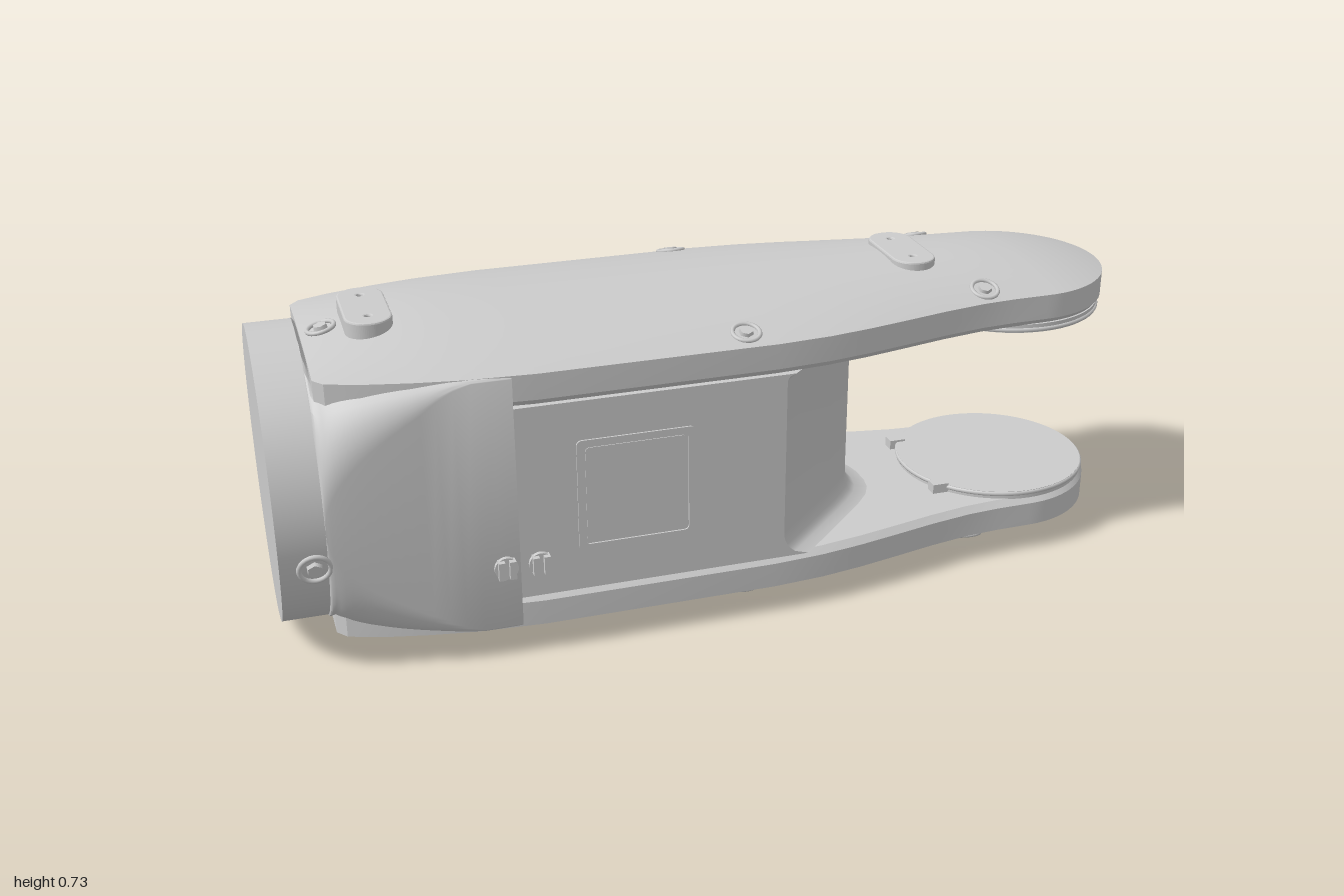
import * as THREE from 'three';
import { toCreasedNormals } from 'three/addons/utils/BufferGeometryUtils.js';

const MID = 0.3625, ZC = -0.007, HALF = 0.327;
const grey = new THREE.MeshStandardMaterial({ color: 0xcccccc });

function add(parent, name, geo, x = 0, y = 0, z = 0) {
  const m = new THREE.Mesh(geo, grey);
  m.name = name;
  m.position.set(x, y, z);
  parent.add(m);
  return m;
}

// Skins a row of closed rings and caps both ends
function loft(rings, crease = 0.5) {
  const n = rings[0].length, pos = [], idx = [];
  rings.forEach(r => r.forEach(p => pos.push(...p)));
  for (let i = 0; i < rings.length - 1; i++) {
    for (let j = 0; j < n; j++) {
      const k = (j + 1) % n, a = i * n + j, b = i * n + k;
      idx.push(a, b, a + n, b, b + n, a + n);
    }
  }
  [0, rings.length - 1].forEach((i, end) => {
    const c = [0, 1, 2].map(q => rings[i].reduce((s, p) => s + p[q], 0) / n);
    const ci = pos.length / 3;
    pos.push(...c);
    for (let j = 0; j < n; j++) {
      const a = i * n + j, b = i * n + (j + 1) % n;
      idx.push(ci, end ? a : b, end ? b : a);
    }
  });
  const g = new THREE.BufferGeometry();
  g.setAttribute('position', new THREE.Float32BufferAttribute(pos, 3));
  g.setIndex(idx);
  return toCreasedNormals(g, crease);
}

// Half width of the arm along its length, then a round tip
const widths = [[-0.89, 0.225], [-0.87, 0.25], [-0.8, 0.275], [-0.7, 0.298], [-0.6, 0.315], [-0.45, HALF],
  [0.08, HALF], [0.2, 0.318], [0.3, 0.302], [0.4, 0.281], [0.5, 0.259], [0.6, 0.242], [0.68, 0.236], [0.765, 0.235]];
function halfWidth(x) {
  if (x >= 0.765) return Math.sqrt(Math.max(0.235 ** 2 - (x - 0.765) ** 2, 1e-6));
  const i = Math.max(1, widths.findIndex(p => p[0] >= x));
  const [a, b] = [widths[i - 1], widths[i]];
  return a[1] + (b[1] - a[1]) * (x - a[0]) / (b[0] - a[0]);
}

// Height of the domed outer skin above mid height
function dome(x, s) {
  let f = 1;
  if (x > 0.6) f = 1 - ((x - 0.6) / 0.4) ** 2.2;
  if (x < -0.55) f = 1 - 0.85 * ((x + 0.55) / -0.35) ** 2;
  return 0.296 + 0.058 * f * (1 - s * s);
}

function armGeometry() {
  const xs = widths.map(p => p[0]);
  for (let i = 1; i <= 16; i++) xs.push(0.765 + 0.235 * Math.sin(i / 16 * Math.PI / 2));
  return loft(xs.map(x => {
    const w = halfWidth(x), e = Math.min(0.015, w * 0.3), b = 0.223, ring = [];
    for (let i = 0; i <= 20; i++) {
      const s = i / 10 - 1;
      ring.push([x, dome(x, s), s * w]);
    }
    ring.push([x, b + e, w], [x, b, w - e], [x, b, e - w], [x, b + e, -w]);
    return ring;
  }), 0.45);
}

// Body that changes from a round end to a square section
function bodyGeometry() {
  const rings = [];
  for (let i = 0; i <= 18; i++) {
    const t = (i / 18) ** 2, x = -0.9 + 0.4 * t;
    const h = Math.max(0.296, 0.326 - 1.2 * t);
    const r = Math.max(0.012, (h - 0.001) * (1 - Math.sqrt(Math.min(1, t * 1.2))));
    const ring = [];
    for (let q = 0; q < 4; q++) {
      const sy = q === 0 || q === 3 ? 1 : -1, sz = q < 2 ? 1 : -1;
      for (let k = 0; k <= 10; k++) {
        const a = (q + k / 10) * Math.PI / 2;
        ring.push([x, sy * (h - r) + r * Math.cos(a), sz * (0.326 - r) + r * Math.sin(a)]);
      }
    }
    rings.push(ring);
  }
  return loft(rings, 0.6);
}

// Block between the arms, tapering to a blunt nose with fillets
function webGeometry() {
  const half = [[-0.5, 0.326], [0.1, 0.326], [0.27, 0.165], [0.305, 0.13], [0.335, 0.095], [0.353, 0.06], [0.36, 0.025]];
  const outline = [...half, ...half.slice().reverse().map(([x, z]) => [x, -z])];
  const levels = [];
  const curve = (R, h) => R - Math.sqrt(R * R - (R - h) ** 2);
  for (let i = 0; i <= 6; i++) levels.push([-0.223 + 0.06 * i / 6, curve(0.06, 0.06 * i / 6)]);
  for (let i = 0; i <= 4; i++) levels.push([0.203 + 0.02 * i / 4, curve(0.02, 0.02 - 0.02 * i / 4)]);
  return loft(levels.map(([y, d]) => outline.map(([x, z]) => [x > 0 ? x + d : x, y, z])), 0.6);
}

function roundedRect(w, h, r, S = THREE.Shape) {
  const s = new S();
  s.absarc(w - r, h - r, r, 0, Math.PI / 2);
  s.absarc(r - w, h - r, r, Math.PI / 2, Math.PI);
  s.absarc(r - w, r - h, r, Math.PI, Math.PI * 1.5);
  s.absarc(w - r, r - h, r, Math.PI * 1.5, Math.PI * 2);
  s.closePath();
  return s;
}

const extrude = (shape, depth, bevel = 0) => new THREE.ExtrudeGeometry(shape, {
  depth, curveSegments: 10, bevelEnabled: bevel > 0, bevelSize: bevel, bevelThickness: bevel, bevelSegments: 2
});

// Ring and centre of a socket screw, facing +y
function screw(parent, x, y, z) {
  const g = new THREE.Group();
  g.name = 'screw';
  g.position.set(x, y, z);
  add(g, 'screwRim', new THREE.TorusGeometry(0.03, 0.005, 8, 24).rotateX(Math.PI / 2));
  add(g, 'screwHead', new THREE.CylinderGeometry(0.015, 0.018, 0.014, 6));
  parent.add(g);
  return g;
}

// One fork arm with its cover, mounting pads, screws and joint disc
function buildArm(name) {
  const arm = new THREE.Group();
  arm.name = name;
  add(arm, 'armShell', armGeometry());
  add(arm, 'jointDisc', new THREE.CylinderGeometry(0.228, 0.228, 0.02, 64), 0.765, 0.215, 0);
  add(arm, 'jointDiscRim', new THREE.TorusGeometry(0.226, 0.006, 8, 64).rotateX(Math.PI / 2), 0.765, 0.211, 0);
  for (const s of [-1, 1]) add(arm, 'discLug', new THREE.BoxGeometry(0.04, 0.03, 0.03), 0.57, 0.215, s * 0.13);

  const pad = roundedRect(0.047, 0.11, 0.045);
  for (const y of [-0.065, 0.065]) {
    const hole = new THREE.Path();
    hole.absarc(0, y, 0.011, 0, Math.PI * 2, true);
    pad.holes.push(hole);
  }
  for (const x of [-0.75, 0.5]) {
    add(arm, 'mountingPad', extrude(pad, 0.055, 0.004).rotateX(-Math.PI / 2), x, 0.3035, 0);
  }
  for (const [x, z] of [[0.02, 0.28], [0.62, 0.2]]) {
    for (const s of [-1, 1]) {
      const k = z / halfWidth(x);
      const sc = screw(arm, x, dome(x, k) + 0.001, s * z);
      sc.rotation.x = s * Math.atan(2 * 0.058 * k / halfWidth(x));
    }
  }
  screw(arm, -0.845, dome(-0.845, 0) + 0.003, 0).rotation.z = 0.22;
  return arm;
}

export function createModel() {
  const model = new THREE.Group();
  model.name = 'robotArmLink';
  const link = new THREE.Group();
  link.name = 'link';
  link.position.set(0, MID, ZC);
  model.add(link);

  // Round flange and body
  add(link, 'endCollar', new THREE.CylinderGeometry(0.328, 0.328, 0.1, 96).rotateZ(Math.PI / 2), -0.95, 0, 0);
  add(link, 'body', bodyGeometry());
  add(link, 'forkWeb', webGeometry());

  // The lower arm is the upper one turned over
  link.add(buildArm('upperArm'));
  const lower = buildArm('lowerArm');
  lower.rotation.x = Math.PI;
  link.add(lower);
  add(link, 'sideLug', new THREE.BoxGeometry(0.07, 0.05, 0.03), 0.765, 0.245, -0.232);

  // Square panel on the front face
  const frame = roundedRect(0.131, 0.131, 0.012);
  frame.holes.push(roundedRect(0.116, 0.116, 0.01, THREE.Path));
  add(link, 'panelFrame', extrude(frame, 0.006), -0.24, 0.002, 0.324);
  add(link, 'panelPlate', extrude(roundedRect(0.112, 0.112, 0.01), 0.004), -0.24, 0.002, 0.324);

  // Two slotted connectors
  for (const x of [-0.532, -0.457]) {
    add(link, 'connectorBase', new THREE.CylinderGeometry(0.026, 0.026, 0.012, 24).rotateX(Math.PI / 2), x, -0.142, 0.329);
    for (const s of [-1, 1]) add(link, 'connectorTab', new THREE.BoxGeometry(0.014, 0.042, 0.024), x + s * 0.012, -0.142, 0.335);
  }

  // Screw on the side of the collar
  const side = screw(link, -0.928, -0.083, 0.319);
  side.rotation.x = Math.PI / 2 + 0.25;
  side.scale.setScalar(1.1);
  return model;
}
